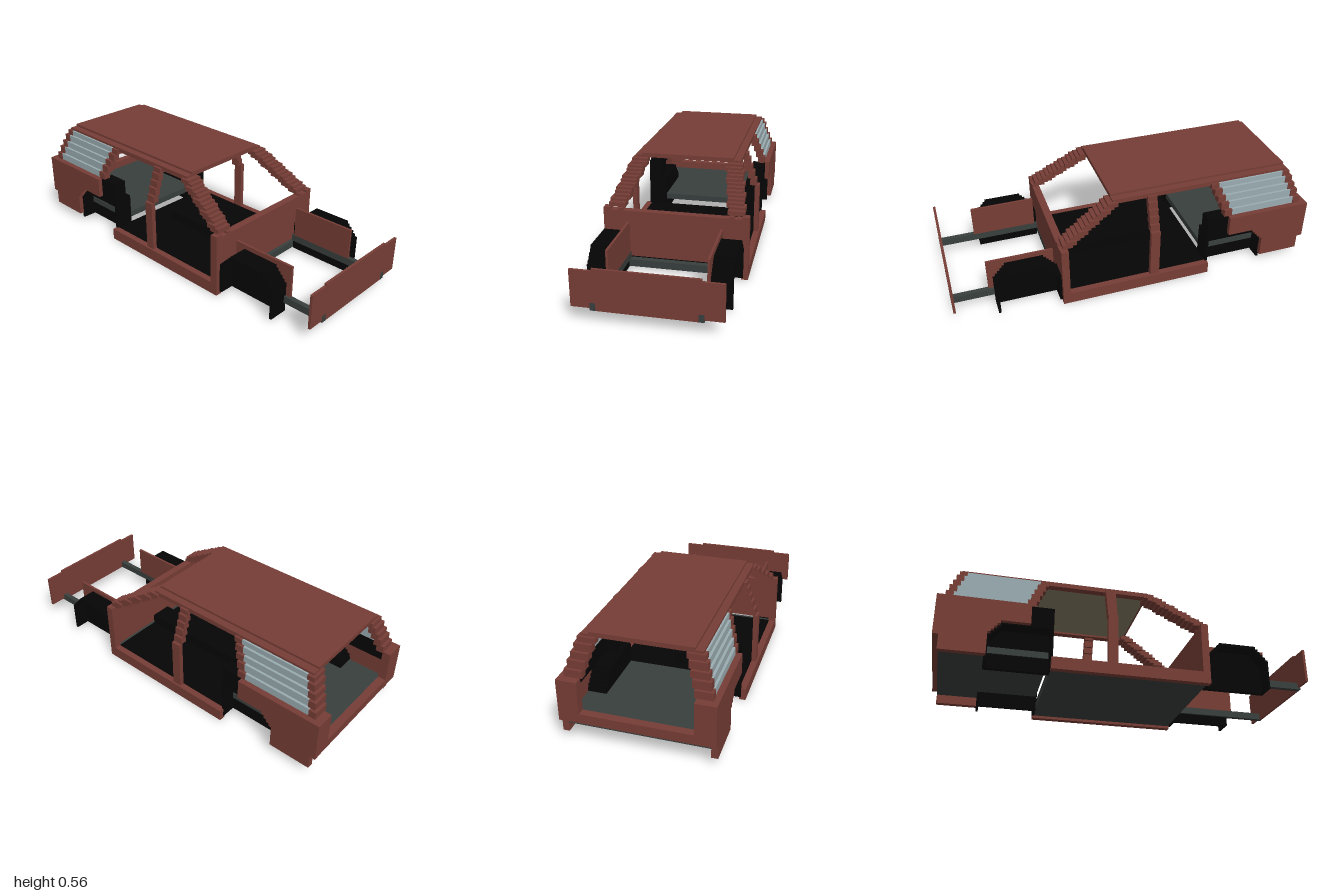
import * as THREE from 'three';

const paint = (name, color) => {
  const m = new THREE.MeshStandardMaterial({ color });
  m.name = name;
  return m;
};

export function createModel() {
  const car = new THREE.Group();
  car.name = 'carBodyShell';
  const brown = paint('brownPaint', 0x763d35);
  const black = paint('blackTrim', 0x050505);
  const grey = paint('darkGreyFrame', 0x383f3d);
  const glass = paint('paleGlass', 0x9aacb1);
  const tan = paint('tanHeadliner', 0x827a61);

  const add = (name, geo, mat, x, y, z) => {
    const m = new THREE.Mesh(geo, mat);
    m.name = name;
    m.position.set(x, y, z);
    car.add(m);
  };
  // Box from its limits on each axis
  const box = (name, mat, x0, x1, y0, y1, z0, z1) =>
    add(name, new THREE.BoxGeometry(x1 - x0, y1 - y0, z1 - z0), mat,
      (x0 + x1) / 2, (y0 + y1) / 2, (z0 + z1) / 2);
  // The same box on both sides of the car
  const pair = (name, mat, x0, x1, y0, y1, z0, z1) => {
    box(name + 'Near', mat, x0, x1, y0, y1, z0, z1);
    box(name + 'Far', mat, x0, x1, y0, y1, -z1, -z0);
  };
  // Side-profile plate on both sides of the car
  const platePair = (name, mat, points, z0, z1) => {
    const shape = new THREE.Shape(points.map(p => new THREE.Vector2(p[0], p[1])));
    for (const s of [1, -1]) {
      const geo = new THREE.ExtrudeGeometry(shape, { depth: z1 - z0, bevelEnabled: false });
      geo.translate(0, 0, -(z1 - z0) / 2);
      add(name + (s > 0 ? 'Near' : 'Far'), geo, mat, 0, 0, s * (z0 + z1) / 2);
    }
  };
  // Staircase from a to b in n steps; rises first when up is true
  const stairs = (a, b, n, up) => {
    const pts = [a];
    const dx = (b[0] - a[0]) / n, dy = (b[1] - a[1]) / n;
    for (let i = 0; i < n; i++) {
      const x = a[0] + dx * i, y = a[1] + dy * i;
      pts.push(up ? [x, y + dy] : [x + dx, y], [x + dx, y + dy]);
    }
    return pts;
  };

  // Floor pan, carpet, centre tunnel and raised rear floor
  box('floorPan', grey, -0.41, 0.42, 0.015, 0.055, -0.35, 0.35);
  box('carpet', black, -0.41, 0.385, 0.055, 0.065, -0.35, 0.35);
  box('centreTunnel', black, -0.255, 0.385, 0.065, 0.12, -0.06, 0.06);
  box('rearFloor', grey, -0.745, -0.412, 0.095, 0.13, -0.285, 0.285);
  box('bootFloor', grey, -0.97, -0.745, 0.095, 0.13, -0.352, 0.352);

  // Sills, firewall and its corner posts
  pair('sill', brown, -0.415, 0.425, 0, 0.065, 0.35, 0.385);
  box('firewall', brown, 0.385, 0.425, 0.08, 0.335, -0.35, 0.35);
  pair('cowlPost', brown, 0.385, 0.425, 0.065, 0.347, 0.347, 0.385);
  pair('cowlCorner', brown, 0.385, 0.425, 0.335, 0.347, 0.28, 0.306);

  // Roof with lower side rails and a headliner
  box('roof', brown, -0.89, 0.12, 0.536, 0.56, -0.253, 0.253);
  pair('roofRail', brown, -0.89, 0.12, 0.523, 0.548, 0.253, 0.293);
  box('headliner', tan, -0.88, 0.11, 0.5345, 0.536, -0.253, 0.253);

  // Stepped rear pillars, side glass and centre pillars lean in layer by layer
  const levels = [0.347, 0.387, 0.43, 0.467, 0.507, 0.536];
  const lean = i => 0.358 - 0.0128 * i;
  for (let i = 0; i < 5; i++) {
    const y0 = levels[i], y1 = levels[i + 1];
    const out = lean(i);
    const back = -0.96 + 0.0145 * i;
    const front = -0.5 + 0.0165 * i;
    pair('rearPillar' + i, brown, back, back + 0.04, y0, y1, out - 0.09, out);
    pair('quarterPillar' + i, brown, front - 0.045, front, y0, y1, out - 0.04, out);
    pair('sideGlass' + i, glass, back + 0.04, front - 0.045, y0, y1, out - 0.025, out - 0.004);
    pair('centrePillar' + i, brown, -0.122, -0.07, y0, y1, out - 0.035, out);
  }
  pair('centrePillarBase', brown, -0.122, -0.07, 0.065, 0.347, 0.35, 0.375);

  // Stepped windscreen pillars
  const steps = 13;
  for (let i = 0; i < steps; i++) {
    const x = 0.385 - 0.0218 * i;
    const y = 0.347 + 0.0137 * i;
    const top = Math.min(y + 0.025, 0.536);
    const out = lean(levels.filter(v => v < top - 0.004).length - 1);
    pair('windscreenPillar' + i, brown, x - 0.03, x + 0.025, y, top, out - 0.088, out);
  }

  // Front wheel housings: inner wall and hollow stepped arch
  const frontArch = [[0.425, 0.015], ...stairs([0.425, 0.165], [0.51, 0.255], 6, true),
    ...stairs([0.69, 0.255], [0.77, 0.165], 6, false), [0.77, 0.015]];
  platePair('frontHousingWall', black, frontArch, 0.253, 0.28);
  const frontInner = [[0.757, 0.015], ...stairs([0.757, 0.155], [0.685, 0.24], 6, true),
    ...stairs([0.515, 0.24], [0.438, 0.155], 6, false), [0.438, 0.015]];
  platePair('frontHousingArch', black, [...frontArch, ...frontInner], 0.28, 0.36);

  // Inner wing panels and chassis rails
  pair('innerWing', brown, 0.44, 0.798, 0.107, 0.28, 0.24, 0.253);
  pair('frontRail', grey, 0.425, 1, 0.068, 0.107, 0.2401, 0.267);

  // Nose panel with a raised centre
  box('nosePanel', brown, 0.986, 0.9992, 0.08, 0.268, -0.36, 0.36);
  box('nosePanelCentre', brown, 0.986, 0.9995, 0.068, 0.28, -0.253, 0.253);

  // Rear wheel housings
  const rearArch = [[-0.745, 0.015], [-0.745, 0.15],
    ...stairs([-0.74, 0.15], [-0.66, 0.242], 5, true), [-0.405, 0.242], [-0.405, 0.015]];
  platePair('rearHousingWall', black, rearArch, 0.253, 0.28);
  const rearInner = [[-0.418, 0.015], [-0.418, 0.228],
    ...stairs([-0.655, 0.228], [-0.727, 0.145], 5, false), [-0.732, 0.145], [-0.732, 0.015]];
  platePair('rearHousingArch', black, [...rearArch, ...rearInner], 0.28, 0.36);
  pair('rearHousingTower', black, -0.525, -0.405, 0.242, 0.347, 0.285, 0.36);
  pair('rearSideLining', black, -0.955, -0.525, 0.242, 0.346, 0.338, 0.352);

  // Rear quarter panels with a stepped wheel cut-out
  const quarter = [[-1, 0.125], [-0.97, 0.125], [-0.97, 0.045], [-0.738, 0.045],
    ...stairs([-0.738, 0.15], [-0.66, 0.235], 5, true), [-0.525, 0.235], [-0.525, 0.347], [-1, 0.347]];
  platePair('quarterPanel', brown, quarter, 0.352, 0.385);
  pair('rearCorner', brown, -1, -0.955, 0.175, 0.347, 0.28, 0.352);

  // Rear cross bar below the open tailgate
  box('rearBar', brown, -0.999, -0.957, 0.125, 0.175, -0.352, 0.352);

  return car;
}
